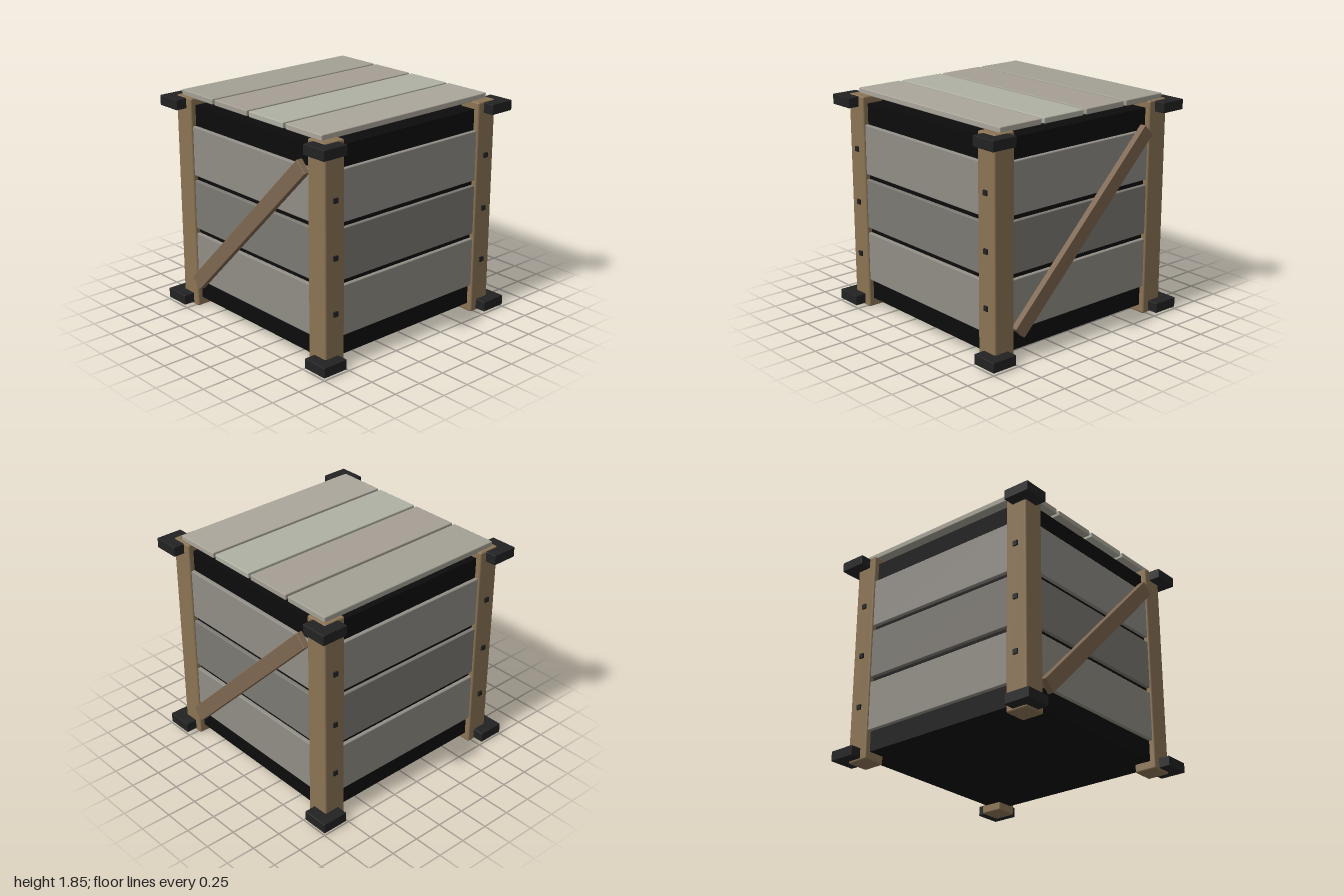
import * as THREE from 'three';
import { RoundedBoxGeometry } from 'three/addons/geometries/RoundedBoxGeometry.js';

const mat = (color) => new THREE.MeshStandardMaterial({ color });
const iron = mat(0x222222);
const dark = mat(0x0c0c0c);
const postWood = mat(0x8a7354);
const braceWood = mat(0x7d6650);
const plankWoods = [0x918d85, 0x7c7973, 0x918d86].map(mat);
const lidWoods = [0xa3a094, 0xa59f94, 0xb0b1a4, 0xaca69b].map(mat);

// Box with softly bevelled edges
function block(name, material, size, pos, bevel = 0.008) {
  const mesh = new THREE.Mesh(new RoundedBoxGeometry(...size, 2, bevel), material);
  mesh.name = name;
  mesh.position.set(...pos);
  return mesh;
}

export function createModel() {
  const crate = new THREE.Group();
  crate.name = 'crate';

  // Dark inner box
  const core = new THREE.Mesh(new THREE.BoxGeometry(1.72, 1.68, 1.72), dark);
  core.name = 'core';
  core.position.y = 0.91;
  crate.add(core);

  // Corner posts with iron caps and side bolts
  for (const sx of [-1, 1]) {
    for (const sz of [-1, 1]) {
      const corner = new THREE.Group();
      corner.name = 'corner';
      corner.add(block('post', postWood, [0.193, 1.81, 0.193], [sx * 0.809, 0.905, sz * 0.809], 0.015));
      for (const y of [0.06, 1.76]) {
        corner.add(block('cornerCap', iron, [0.226, 0.085, 0.226], [sx * 0.887, y, sz * 0.887], 0.006));
      }
      for (const y of [0.457, 0.909, 1.361]) {
        const bolt = new THREE.Mesh(new THREE.BoxGeometry(0.04, 0.04, 0.04), iron);
        bolt.name = 'bolt';
        bolt.position.set(sx * 0.9, y, sz * 0.809);
        corner.add(bolt);
      }
      crate.add(corner);
    }
  }

  // Four walls of three horizontal planks; front and back carry a diagonal brace
  ['frontWall', 'leftWall', 'backWall', 'rightWall'].forEach((name, i) => {
    const wall = new THREE.Group();
    wall.name = name;
    wall.rotation.y = (i * Math.PI) / 2;
    plankWoods.forEach((wood, j) => {
      wall.add(block('wallPlank', wood, [1.44, 0.417, 0.05], [0, 0.449 + j * 0.46, 0.866]));
    });
    if (i % 2 === 0) {
      const brace = block('brace', braceWood, [1.925, 0.128, 0.055], [-0.003, 0.91, 0.914], 0.005);
      brace.rotation.z = Math.PI / 4;
      wall.add(brace);
    }
    crate.add(wall);
  });

  // Lid planks, set slightly off centre
  const lid = new THREE.Group();
  lid.name = 'lid';
  lidWoods.forEach((wood, i) => {
    lid.add(block('lidPlank', wood, [0.408, 0.048, 1.752], [-0.672 + i * 0.433, 1.827, -0.004]));
  });
  crate.add(lid);

  return crate;
}
